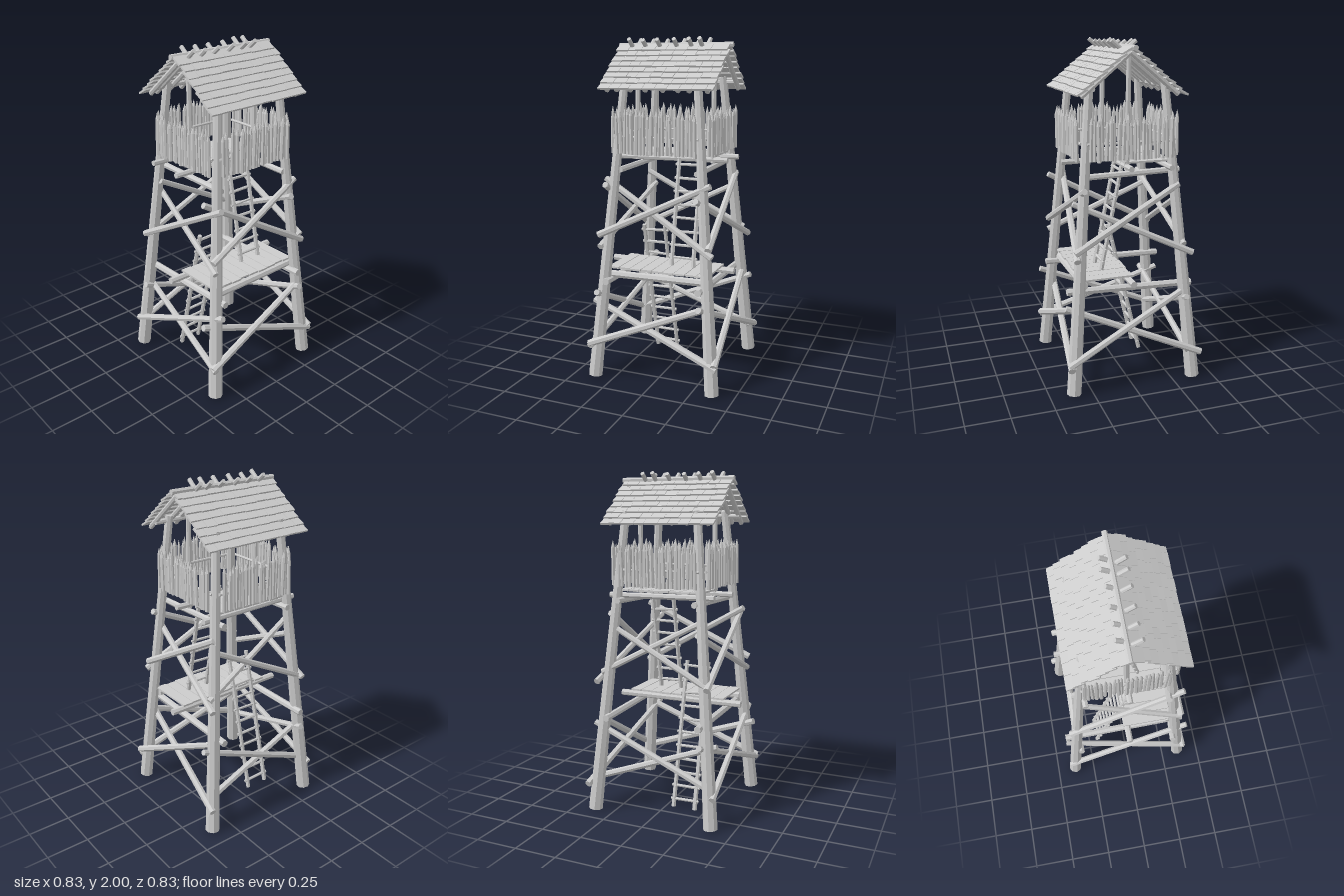
import * as THREE from 'three';
import { mergeGeometries } from 'three/addons/utils/BufferGeometryUtils.js';

const material = new THREE.MeshStandardMaterial({ color: 0xcccccc, flatShading: true });
const UP = new THREE.Vector3(0, 1, 0);
// the tower's axis sits slightly behind the middle
const AXIS_Z = -0.01;

// small seeded random: returns a value in [-amount, amount]
let seed = 7;
function jitter(amount) {
  seed = (seed * 16807) % 2147483647;
  return ((seed / 2147483647) * 2 - 1) * amount;
}

// tapered log from point a to point b
function log(a, b, r0, r1 = r0, sides = 7) {
  const p = new THREE.Vector3(...a), q = new THREE.Vector3(...b);
  const dir = q.clone().sub(p);
  const geo = new THREE.CylinderGeometry(r1, r0, dir.length(), sides);
  geo.rotateY(jitter(3));
  geo.applyQuaternion(new THREE.Quaternion().setFromUnitVectors(UP, dir.normalize()));
  geo.translate((p.x + q.x) / 2, (p.y + q.y) / 2, (p.z + q.z) / 2);
  return geo;
}

// distance of a leg's centre line from the tower's axis at height y
const legAt = (y) => 0.37 - 0.0855 * y;

// brace on one leaning face, from its low end to its high end;
// ends are [position along face, height, offset outward from the leg line]
function brace(axis, sign, low, high, r) {
  const point = ([u, y, offset]) => {
    const n = sign * (legAt(y) + offset);
    return axis === 'z' ? [u, y, n + AXIS_Z] : [n, y, u];
  };
  return log(point(low), point(high), r, r * 0.9);
}

export function createModel() {
  const model = new THREE.Group();
  const add = (name, geos) => {
    const mesh = new THREE.Mesh(mergeGeometries(geos), material);
    mesh.name = name;
    model.add(mesh);
  };

  // four leaning legs
  const legs = [];
  for (const sx of [-1, 1]) for (const sz of [-1, 1]) {
    const b = legAt(0), t = legAt(1.76);
    legs.push(log([sx * b, 0, sz * b + AXIS_Z], [sx * t, 1.76, sz * t + AXIS_Z], 0.042, 0.024, 8));
  }
  add('legs', legs);

  // crossed braces: outside the legs low down and nearer the inside high up,
  // except at the back, where they stay inside
  add('crossBraces', [
    brace('z', 1, [-0.40, 0.20, 0.035], [0.31, 0.49, 0.01], 0.022),
    brace('z', 1, [0.40, 0.16, 0.03], [-0.40, 0.45, -0.03], 0.022),
    brace('z', -1, [-0.38, 0.20, -0.02], [0.39, 0.52, -0.01], 0.02),
    brace('z', -1, [0.39, 0.18, -0.025], [-0.38, 0.46, -0.03], 0.02),
    brace('z', 1, [-0.35, 0.86, 0.035], [0.32, 1.18, 0.01], 0.021),
    brace('z', 1, [0.35, 0.79, 0.03], [-0.34, 1.18, -0.03], 0.021),
    brace('z', -1, [-0.34, 0.79, 0.02], [0.28, 1.10, 0.0], 0.019),
    brace('z', -1, [0.34, 0.83, 0.01], [-0.28, 1.16, -0.03], 0.019),
    brace('x', 1, [0.39, 0.18, 0.035], [-0.31, 0.54, 0.01], 0.021),
    brace('x', 1, [-0.42, 0.16, 0.04], [0.38, 0.50, -0.035], 0.021),
    brace('x', -1, [-0.40, 0.18, 0.03], [0.39, 0.53, 0.01], 0.02),
    brace('x', -1, [0.39, 0.19, 0.035], [-0.40, 0.47, -0.025], 0.02),
    brace('x', 1, [0.33, 0.83, 0.03], [-0.30, 1.18, 0.02], 0.021),
    brace('x', 1, [-0.37, 0.78, 0.05], [0.32, 1.10, -0.025], 0.02),
    brace('x', -1, [-0.36, 0.79, 0.03], [0.33, 1.16, 0.025], 0.02),
    brace('x', -1, [0.33, 0.79, 0.035], [-0.29, 1.08, -0.03], 0.019),
  ]);

  // level beams carrying the two floors
  add('floorBeams', [
    log([-0.41, 0.635, 0], [0.38, 0.63, 0], 0.02),
    log([-0.31, 0.615, 0.27], [0.30, 0.625, 0.27], 0.022),
    log([0.285, 0.595, 0.37], [0.285, 0.57, -0.39], 0.021),
    log([-0.29, 0.59, 0.36], [-0.295, 0.575, -0.40], 0.021),
    log([-0.35, 1.285, 0], [0.33, 1.29, 0], 0.017),
    log([-0.33, 1.285, -0.245], [0.32, 1.28, -0.245], 0.017),
    log([0.235, 1.24, 0.26], [0.235, 1.255, -0.32], 0.018),
    log([-0.235, 1.24, 0.26], [-0.235, 1.25, -0.31], 0.018),
  ]);

  // half floors: planks run front to back
  function floor(name, halfWidth, y, z0, z1, count) {
    const planks = [], w = (halfWidth * 2) / count;
    for (let i = 0; i < count; i++) {
      const plank = new THREE.BoxGeometry(w - 0.003, 0.011, z1 - z0 + jitter(0.012));
      planks.push(plank.translate(-halfWidth + (i + 0.5) * w, y + jitter(0.001), (z0 + z1) / 2));
    }
    add(name, planks);
  }
  floor('lowerFloor', 0.31, 0.658, -0.02, 0.28, 9);
  floor('upperFloor', 0.255, 1.312, -0.27, 0.015, 8);

  // ladders: two rails and evenly spaced rungs
  function ladder(name, xMid, foot, head, rungs) {
    const parts = [];
    for (const s of [-1, 1]) {
      const x = xMid + s * 0.068;
      parts.push(log([x, ...foot], [x, ...head], 0.014, 0.013, 6));
    }
    for (let i = 0; i < rungs; i++) {
      const t = (i + 0.6) / rungs;
      const y = foot[0] + (head[0] - foot[0]) * t, z = foot[1] + (head[1] - foot[1]) * t;
      parts.push(log([xMid - 0.088, y + jitter(0.004), z], [xMid + 0.088, y + jitter(0.004), z], 0.009, 0.009, 6));
    }
    add(name, parts);
  }
  ladder('lowerLadder', -0.128, [0.01, -0.193], [0.87, 0.015], 11);
  ladder('upperLadder', 0.1, [0.665, 0.13], [1.36, -0.01], 9);

  // palisade of pointed stakes between the legs on all four sides
  const stakes = [], rails = [];
  const count = 21, reach = 0.235, out = 0.294;
  for (let side = 0; side < 4; side++) {
    const place = (geo) => geo.rotateY(side * Math.PI / 2).translate(-0.004, 0, AXIS_Z);
    for (let i = 0; i < count; i++) {
      const u = -reach + (2 * reach * i) / (count - 1) + jitter(0.003);
      const r = 0.0115 + jitter(0.002), top = 1.583 + jitter(0.018), lean = jitter(0.008);
      const n = out + jitter(0.006), neck = [u + lean, top - 0.04, n];
      stakes.push(place(log([u, 1.335 + jitter(0.004), n], neck, r, r * 0.95, 6)));
      stakes.push(place(log(neck, [u + lean, top, n], r * 0.95, 0.001, 6)));
    }
    rails.push(place(log([-0.25, 1.43, 0.277], [0.25, 1.43, 0.277], 0.008, 0.008, 6)));
  }
  add('palisadeStakes', stakes);
  add('palisadeRails', rails);

  // roof frame: ridge pole over the shingles, end posts and wall plates
  const slope = 0.82, angle = Math.atan(slope);
  const frame = [
    log([-0.355, 1.943, -0.012], [0.35, 1.943, -0.012], 0.016),
    log([-0.24, 1.27, 0], [-0.24, 1.93, -0.012], 0.016, 0.014),
    log([0.24, 1.27, 0], [0.24, 1.93, -0.012], 0.016, 0.014),
    log([-0.31, 1.73, 0.215], [0.31, 1.73, 0.215], 0.014),
    log([-0.31, 1.73, -0.235], [0.31, 1.73, -0.235], 0.014),
  ];
  // rafter pairs crossing above the ridge
  for (const x of [-0.24, -0.155, -0.065, 0.04, 0.13, 0.195]) for (const s of [-1, 1]) {
    const rx = x - (s > 0 ? 0 : 0.02), tip = 0.066 + jitter(0.006);
    frame.push(log([rx, 1.922 - slope * 0.28, s * 0.28], [rx, 1.922 + slope * tip, -s * tip], 0.016, 0.013));
  }
  // gable rafters
  for (const x of [-0.3, 0.3]) for (const s of [-1, 1])
    frame.push(log([x, 1.69, s * 0.28], [x, 1.92, 0], 0.015));
  add('roofFrame', frame);

  // shingles: overlapping rows, each board lifted at its lower edge
  function shingles(name, s, pitch) {
    const boards = [], rows = 8;
    for (let row = 0; row < rows; row++) {
      const shift = jitter(0.012), end = 0.338 + shift;
      let x = -0.348 + shift;
      while (x < end - 0.02) {
        let w = 0.072 + jitter(0.014);
        if (end - x - w < 0.03) w = end - x;
        const board = new THREE.BoxGeometry(w - 0.002, 0.011, 0.066);
        board.rotateX(-0.18 + jitter(0.02));
        board.translate(s * (x + w / 2), 0.013 + jitter(0.001), (row + 0.5) * pitch + jitter(0.002));
        board.rotateX(angle).translate(0, 1.933, 0);
        if (s < 0) board.rotateY(Math.PI);
        boards.push(board);
        x += w;
      }
    }
    add(name, boards);
  }
  shingles('frontShingles', 1, 0.0475);
  shingles('backShingles', -1, 0.05);

  return model;
}
